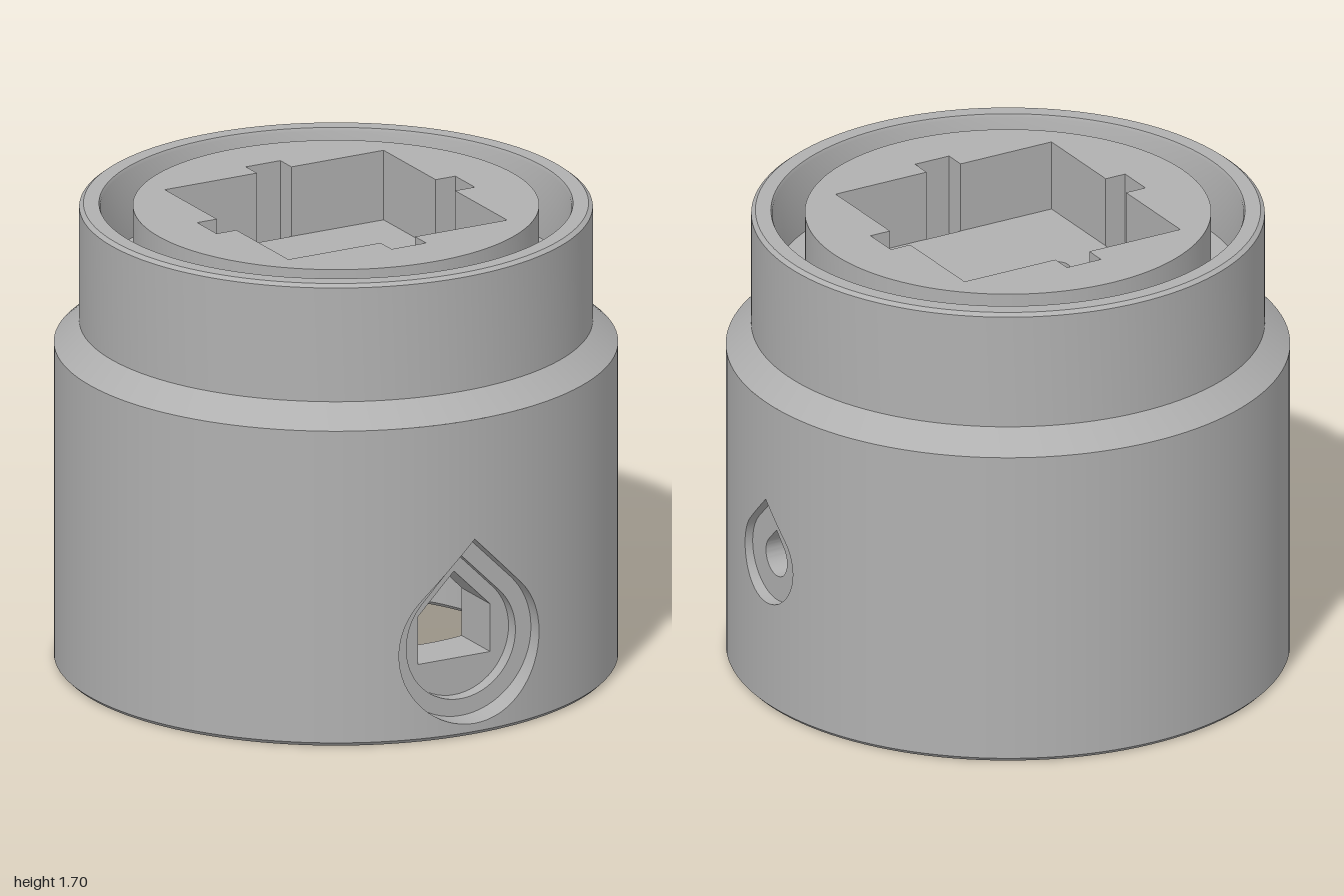
import * as THREE from 'three';
import { toCreasedNormals } from 'three/addons/utils/BufferGeometryUtils.js';

const SEG = 128;
const BORE = 0.66, BORE_TOP = 0.525, CEIL_R = 0.54, CEIL_Y = 0.645;
const FLOOR_Y = 1.43, TOP_Y = 1.69;

// Openings are described by a half width and their lower and upper edge
const teardrop = (cy, r) => {
  const arc = (w) => Math.sqrt(Math.max(0, r * r - w * w));
  return {
    half: r,
    lo: (w) => cy - arc(w),
    up: (w) => (Math.abs(w) < r * Math.SQRT1_2 ? cy + r * Math.SQRT2 - Math.abs(w) : cy + arc(w)),
  };
};
const house = (half, bottom, apex) => ({ half, lo: () => bottom, up: (w) => apex - Math.abs(w) });

const STEPS = 32;
const widths = (o) => Array.from({ length: STEPS + 1 }, (_, i) => o.half * Math.sin((i / STEPS - 0.5) * Math.PI));

// Counter-clockwise outline of an opening
function outline(o) {
  const ws = widths(o), pts = [];
  const add = (x, y) => {
    const p = new THREE.Vector2(x, y);
    if (!pts.some((q) => q.distanceTo(p) < 1e-6)) pts.push(p);
  };
  ws.forEach((w) => add(w, o.lo(w)));
  ws.reverse().forEach((w) => add(w, o.up(w)));
  return pts;
}

// Cylindrical wall with openings, facing out (side = 1) or in (side = -1)
function wall(r, y0, y1, cuts, side) {
  const angles = [];
  const within = (a) => cuts.find((c) => Math.abs(a - c.angle) < Math.asin(c.o.half / r));
  for (let i = 0; i <= SEG; i++) {
    const a = (i / SEG * 2 - 1) * Math.PI;
    if (!within(a)) angles.push(a);
  }
  for (const c of cuts) for (const w of widths(c.o)) angles.push(c.angle + Math.asin(w / r));
  angles.sort((a, b) => a - b);
  const pos = [], nor = [];
  const put = (a, y) => {
    pos.push(r * Math.sin(a), y, r * Math.cos(a));
    nor.push(side * Math.sin(a), 0, side * Math.cos(a));
  };
  const quad = (a, b, la, lb, ha, hb) => {
    const k = [[a, la], [b, lb], [b, hb], [a, la], [b, hb], [a, ha]];
    if (side < 0) k.reverse();
    k.forEach((p) => put(...p));
  };
  for (let i = 0; i + 1 < angles.length; i++) {
    const a = angles[i], b = angles[i + 1], c = within((a + b) / 2);
    if (!c) { quad(a, b, y0, y0, y1, y1); continue; }
    const edge = (f, t) => {
      const w = THREE.MathUtils.clamp(r * Math.sin(t - c.angle), -c.o.half, c.o.half);
      return Math.min(y1, f(w));
    };
    quad(a, b, y0, y0, edge(c.o.lo, a), edge(c.o.lo, b));
    quad(a, b, edge(c.o.up, a), edge(c.o.up, b), y1, y1);
  }
  const g = new THREE.BufferGeometry();
  g.setAttribute('position', new THREE.Float32BufferAttribute(pos, 3));
  g.setAttribute('normal', new THREE.Float32BufferAttribute(nor, 3));
  return g;
}

// Inward-facing sides of an opening, between two depth functions
function sleeve(o, front, back) {
  const pts = outline(o), pos = [];
  pts.forEach((p, i) => {
    const q = pts[(i + 1) % pts.length];
    const put = (v, f) => pos.push(v.x, v.y, f(v.x, v.y));
    put(p, front); put(q, front); put(q, back);
    put(p, front); put(q, back); put(p, back);
  });
  const g = new THREE.BufferGeometry();
  g.setAttribute('position', new THREE.Float32BufferAttribute(pos, 3));
  return toCreasedNormals(g, 0.5);
}

// Flat step between two nested openings
function ledge(outer, inner, z) {
  const s = new THREE.Shape(outline(outer));
  s.holes.push(new THREE.Path(outline(inner)));
  return new THREE.ShapeGeometry(s).translate(0, 0, z);
}

const onOuter = (w) => Math.sqrt(1 - w * w);
const onBore = (w, y) => {
  const r = Math.max(CEIL_R, BORE - Math.max(0, y - BORE_TOP));
  return Math.sqrt(r * r - w * w);
};
const at = (z) => () => z;

function lathe(points) {
  const g = new THREE.LatheGeometry(points.map((p) => new THREE.Vector2(...p)), SEG);
  return toCreasedNormals(g, 0.5);
}

function circle(r, x = 0, y = 0, Kind = THREE.Path) {
  return new Kind().absarc(x, y, r, 0, Math.PI * 2, false);
}

// Round slab with holes, from height y0 to y1
function slab(r, holes, y0, y1) {
  const s = circle(r, 0, 0, THREE.Shape);
  s.holes.push(...holes);
  const g = new THREE.ExtrudeGeometry(s, { depth: y1 - y0, bevelEnabled: false, curveSegments: 64 });
  return toCreasedNormals(g.rotateX(-Math.PI / 2).translate(0, y0, 0), 0.5);
}

// Repeat a set of points at four quarter turns
const quarters = (pts) => [0, 1, 2, 3].map((k) =>
  pts.map(([x, y]) => new THREE.Vector2(x, y).rotateAround(new THREE.Vector2(), k * Math.PI / 2)));

export function createModel() {
  const model = new THREE.Group();
  model.name = 'housing';
  const grey = new THREE.MeshStandardMaterial({ color: 0xb0b0b0 });
  grey.name = 'grey';
  const add = (name, geometry, parent = model) => {
    const m = new THREE.Mesh(geometry, grey);
    m.name = name;
    parent.add(m);
    return m;
  };

  // Openings in the wall
  const portOuter = teardrop(0.33, 0.285), portInner = teardrop(0.33, 0.222);
  const portHole = house(0.147, 0.245, 0.57);
  const sideOuter = teardrop(0.57, 0.165), sideHole = teardrop(0.57, 0.073);
  const right = Math.PI / 2;

  // Main body walls
  add('outerWall', wall(1, 0.015, 1.18, [{ angle: 0, o: portOuter }, { angle: right, o: sideOuter }], 1));
  add('boreWall', wall(BORE, 0.015, BORE_TOP, [{ angle: 0, o: portHole }, { angle: right, o: sideHole }], -1));
  add('boreCone', lathe([[CEIL_R, CEIL_Y], [BORE, BORE_TOP]]));
  add('bottomChamfer', lathe([[0.985, 0], [1, 0.015]]));
  add('shoulderAndCollar', lathe([[1, 1.18], [0.91, 1.26], [0.91, 1.685], [0.895, 1.697],
    [0.84, 1.697], [0.835, 1.685], [0.83, FLOOR_Y], [0.72, FLOOR_Y]]));

  // Stepped front port
  const port = new THREE.Group();
  port.name = 'frontPort';
  add('portRecess', sleeve(portOuter, onOuter, at(0.9)), port);
  add('portStep', ledge(portOuter, portInner, 0.9), port);
  add('portInnerRecess', sleeve(portInner, at(0.9), at(0.85)), port);
  add('portFloor', ledge(portInner, portHole, 0.85), port);
  add('portTunnel', sleeve(portHole, at(0.85), onBore), port);
  model.add(port);

  // Small side port
  const side = new THREE.Group();
  side.name = 'sidePort';
  add('sideRecess', sleeve(sideOuter, onOuter, at(0.955)), side);
  add('sideStep', ledge(sideOuter, sideHole, 0.955), side);
  add('sideTunnel', sleeve(sideHole, at(0.955), onBore), side);
  side.rotation.y = right;
  model.add(side);

  // Core with a square pocket, four edge slots and two round holes
  const pocket = new THREE.Path(quarters([[0.445, -0.445], [0.445, -0.07], [0.525, -0.07],
    [0.525, 0.07], [0.445, 0.07]]).flat());
  add('pocketCore', slab(0.72, [pocket], FLOOR_Y, TOP_Y));
  const through = quarters([[0.445, -0.07], [0.525, -0.07], [0.525, 0.07], [0.445, 0.07]])
    .map((p) => new THREE.Path(p));
  for (const x of [-0.197, 0.197]) through.push(circle(0.05, x, 0));
  add('pocketFloor', slab(0.72, through, FLOOR_Y - 0.02, FLOOR_Y));
  add('boreCeiling', slab(CEIL_R, through, CEIL_Y, FLOOR_Y - 0.02));

  // Underside with four screw holes and a seal groove
  const screws = quarters([[0.62, 0.62]]).flat();
  add('bottomRing', slab(0.985, [circle(0.77), ...screws.map((p) => circle(0.042, p.x, p.y))], 0, 0.04));
  for (const p of screws) {
    add('screwHoleEnd', new THREE.CircleGeometry(0.045, 24).rotateX(Math.PI / 2).translate(p.x, 0.04, p.y));
  }
  add('sealGroove', lathe([[BORE, 0.015], [0.675, 0], [0.71, 0], [0.71, 0.04], [0.775, 0.04]]));
  return model;
}
